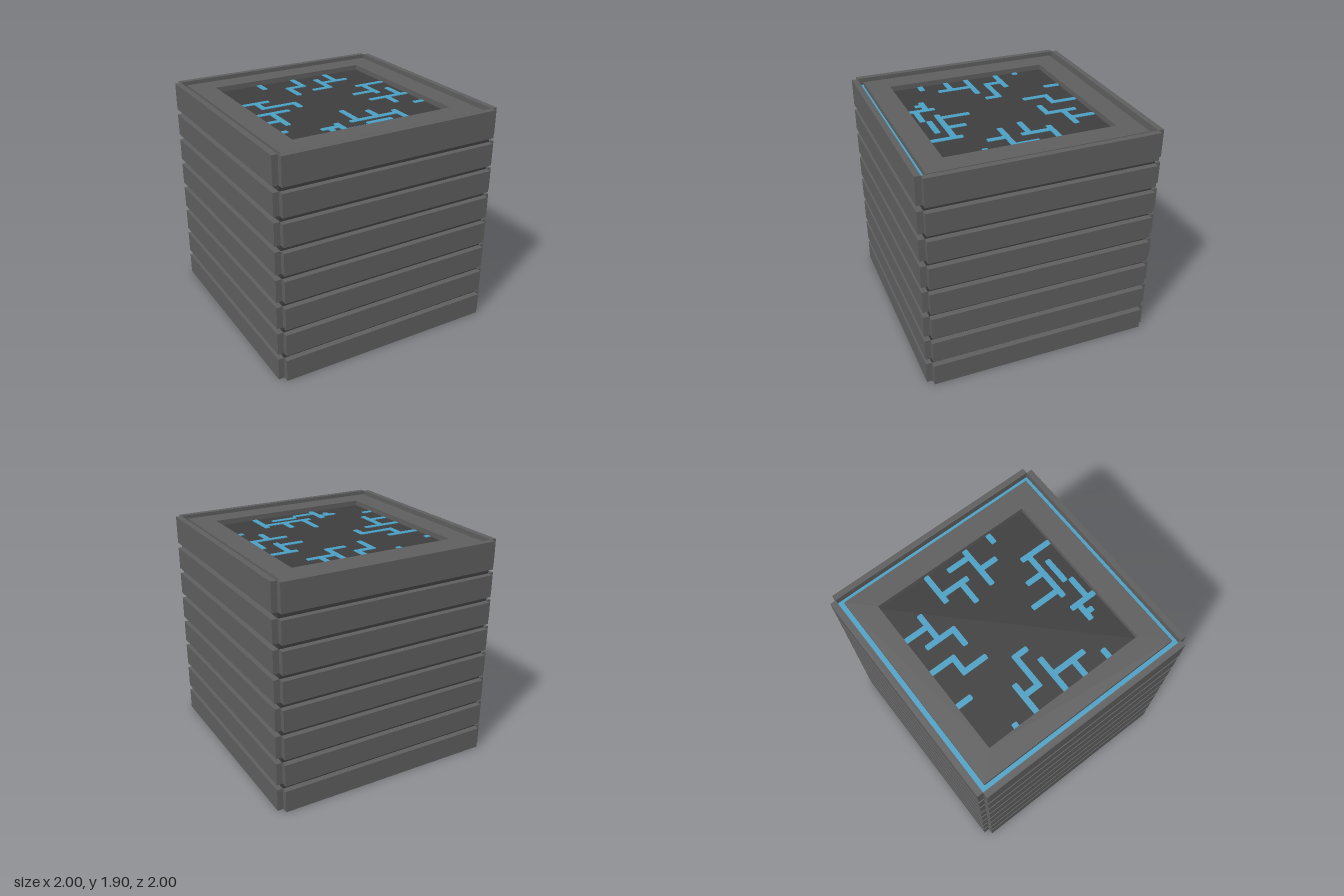
import * as THREE from 'three';

const slatMat = new THREE.MeshStandardMaterial({ color: 0x5e5e5e });
slatMat.name = 'grey casing';
const coreMat = new THREE.MeshStandardMaterial({ color: 0x3d3d3d });
coreMat.name = 'dark core';
const glowMat = new THREE.MeshStandardMaterial({ color: 0x4c9fc3 });
glowMat.name = 'blue circuit';

const CORE_BOTTOM = 0.05, CORE_TOP = 1.84, FRAME_TOP = 1.885, TOP = 1.905;

function box(name, w, y0, y1, d, mat) {
  const mesh = new THREE.Mesh(new THREE.BoxGeometry(w, y1 - y0, d), mat);
  mesh.position.y = (y0 + y1) / 2;
  mesh.name = name;
  return mesh;
}

// Rectangle outline with lightly rounded corners, in the x/-z plane
function roundedRect(x, y, w, h, r) {
  const s = new THREE.Shape();
  s.moveTo(x + r, y);
  s.lineTo(x + w - r, y);
  s.quadraticCurveTo(x + w, y, x + w, y + r);
  s.lineTo(x + w, y + h - r);
  s.quadraticCurveTo(x + w, y + h, x + w - r, y + h);
  s.lineTo(x + r, y + h);
  s.quadraticCurveTo(x, y + h, x, y + h - r);
  s.lineTo(x, y + r);
  s.quadraticCurveTo(x, y, x + r, y);
  return s;
}

// Flat horizontal square ring
function squareRing(name, outer, inner, y0, height, mat) {
  const square = (a) => [[-a, -a], [a, -a], [a, a], [-a, a]].map(([x, y]) => new THREE.Vector2(x, y));
  const shape = new THREE.Shape(square(outer));
  shape.holes.push(new THREE.Path(square(inner).reverse()));
  const mesh = new THREE.Mesh(new THREE.ExtrudeGeometry(shape, { depth: height, bevelEnabled: false }), mat);
  mesh.rotation.x = -Math.PI / 2;
  mesh.position.y = y0;
  mesh.name = name;
  return mesh;
}

// Circuit traces on a 30 x 30 cell grid: column, row, width, height
const TRACES = {
  back: [[8, 0, 1, 3], [15, 0, 1, 5], [12, 4, 4, 1], [12, 4, 1, 5], [22, 0, 1, 5],
    [19, 4, 6, 1], [19, 2, 1, 6], [16, 7, 4, 1]],
  right: [[0, 5, 1, 1], [0, 9, 6, 1], [3, 9, 1, 4], [3, 12, 7, 1], [9, 12, 1, 3],
    [0, 15, 7, 1], [3, 15, 1, 7], [0, 19, 4, 1], [0, 24, 2, 1]],
  left: [[24, 9, 6, 1], [25, 9, 1, 6], [21, 13, 5, 1], [28, 13, 1, 5], [22, 17, 8, 1],
    [25, 17, 1, 4], [28, 22, 2, 1]],
  front: [[14, 20, 1, 6], [18, 22, 1, 4], [13, 25, 10, 1], [22, 24, 1, 6], [10, 25, 1, 5],
    [7, 26, 4, 1], [8, 26, 1, 2], [10, 28, 5, 1], [15, 27, 5, 1]],
};

export function createModel() {
  const model = new THREE.Group();
  model.name = 'slattedCrate';

  // Dark inner block, seen between the slats, below and in the top recess
  model.add(box('core', 1.9, CORE_BOTTOM, CORE_TOP, 1.9, coreMat));

  // Eight slats on each of the four sides; the topmost is taller
  for (let side = 0; side < 4; side++) {
    const wall = new THREE.Group();
    wall.name = ['frontSlats', 'leftSlats', 'backSlats', 'rightSlats'][side];
    wall.rotation.y = side * Math.PI / 2;
    for (let i = 0; i < 8; i++) {
      const y0 = i * 0.2385;
      const slat = box('slat', 1.9, y0, i === 7 ? TOP : y0 + 0.19, 0.05, slatMat);
      slat.position.z = 0.975;
      wall.add(slat);
    }
    model.add(wall);
  }

  // Blue strip at the bottom of the groove, and the raised frame on top
  model.add(squareRing('grooveStrip', 0.949, 0.9, CORE_TOP, 0.005, glowMat));
  model.add(squareRing('topFrame', 0.905, 0.715, CORE_TOP, FRAME_TOP - CORE_TOP, slatMat));

  // Blue circuit pattern on the recessed panel
  const half = 0.714, cell = half * 2 / 30;
  for (const [edge, rects] of Object.entries(TRACES)) {
    const shapes = rects.map(([c, r, w, h]) =>
      roundedRect(c * cell - half, half - (r + h) * cell, w * cell, h * cell, 0.012));
    const geo = new THREE.ExtrudeGeometry(shapes, { depth: 0.005, bevelEnabled: false, curveSegments: 3 });
    const mesh = new THREE.Mesh(geo, glowMat);
    mesh.rotation.x = -Math.PI / 2;
    mesh.position.y = CORE_TOP;
    mesh.name = edge + 'Circuit';
    model.add(mesh);
  }
  return model;
}
